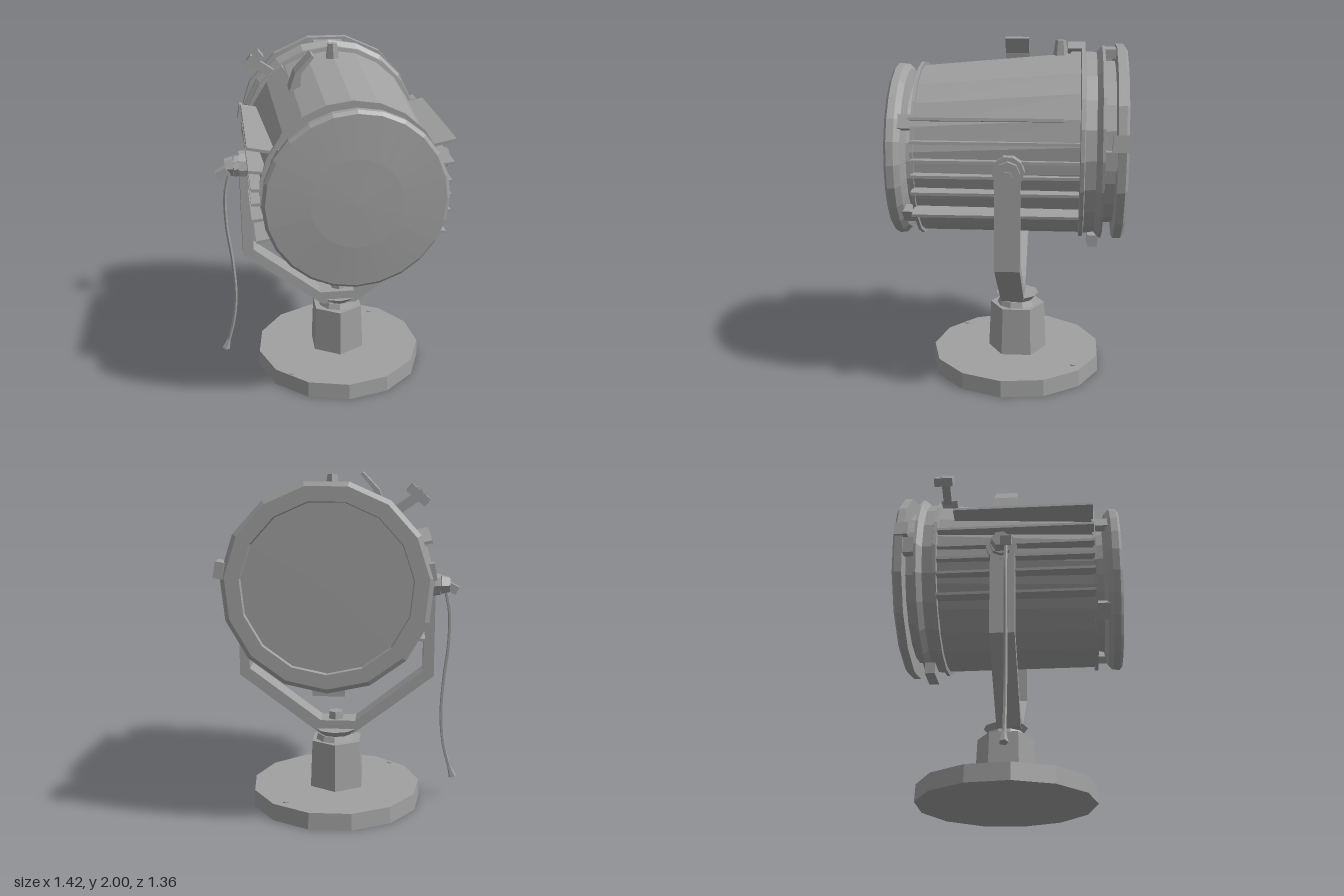
import * as THREE from 'three';

const CX = 0.035;                              // lamp axis in x
const axisY = (z) => 1.383 - 0.043 * z;        // lamp axis tips slightly up to the rear

export function createModel() {
  const root = new THREE.Group();
  const grey = new THREE.MeshStandardMaterial({ color: 0xa0a0a0, flatShading: true, side: THREE.DoubleSide });
  grey.name = 'grey metal';

  const add = (name, geo, x = 0, y = 0, z = 0, rot = [0, 0, 0], parent = root) => {
    const m = new THREE.Mesh(geo, grey);
    m.name = name;
    m.position.set(x, y, z);
    m.rotation.set(...rot);
    parent.add(m);
    return m;
  };
  const box = (w, h, d) => new THREE.BoxGeometry(w, h, d);
  const cyl = (rt, rb, h, n) => new THREE.CylinderGeometry(rt, rb, h, n);
  const shape = (pts) => new THREE.Shape(pts.map(([x, y]) => new THREE.Vector2(x, y)));
  const extrude = (s, depth) => new THREE.ExtrudeGeometry(s, { depth, bevelEnabled: false });

  // Turned part along z from [z, radius] pairs, following the tilted axis
  const turned = (name, profile, sides) => {
    const g = new THREE.LatheGeometry(profile.map(([z, r]) => new THREE.Vector2(r, z)), sides);
    g.rotateX(Math.PI / 2);
    const p = g.attributes.position;
    for (let i = 0; i < p.count; i++) p.setXYZ(i, p.getX(i) + CX, p.getY(i) + axisY(p.getZ(i)), p.getZ(i));
    g.computeVertexNormals();
    return add(name, g);
  };

  // Lamp housing
  turned('housing', [[-0.42, 0], [-0.42, 0.525], [0.5, 0.485], [0.5, 0]], 22);
  turned('frontFlange', [[0.49, 0.48], [0.49, 0.507], [0.508, 0.507], [0.508, 0.36]], 22);
  turned('frontLid', [[0.5, 0.38], [0.55, 0.39], [0.57, 0.47], [0.6, 0.5], [0.64, 0.503], [0.655, 0.485], [0.672, 0.25], [0.677, 0]], 24);
  turned('rearClamp', [[-0.55, 0.46], [-0.545, 0.56], [-0.53, 0.56], [-0.5, 0.525], [-0.44, 0.53], [-0.435, 0.55], [-0.415, 0.55], [-0.41, 0.52]], 20);
  turned('rearNeck', [[-0.61, 0.47], [-0.54, 0.47]], 20);
  turned('rearRing', [[-0.645, 0.46], [-0.67, 0.465], [-0.67, 0.545], [-0.655, 0.57], [-0.61, 0.57], [-0.605, 0.46]], 15);
  turned('rearPane', [[-0.648, 0], [-0.645, 0.465]], 15);

  // Radial tabs: [name, angle, radius, z, radial size, tangent size, z size]
  [
    ['rearHinge', 0.17, 0.575, -0.63, 0.05, 0.09, 0.1],
    ['rearHinge', Math.PI - 0.17, 0.565, -0.62, 0.03, 0.09, 0.08],
    ['rearLatch', 0.0, 0.525, -0.575, 0.05, 0.1, 0.09],
    ['rearLatch', Math.PI, 0.525, -0.575, 0.05, 0.1, 0.09],
    ['rearLatch', Math.PI / 2, 0.52, -0.575, 0.05, 0.18, 0.09],
    ['bottomLatch', -Math.PI / 2, 0.58, -0.5, 0.07, 0.18, 0.06],
    ['lidCatch', -0.75, 0.455, 0.55, 0.05, 0.1, 0.09],
    ['lidCatch', Math.PI + 0.75, 0.455, 0.55, 0.05, 0.1, 0.09],
    ['lidCatch', 0.5, 0.46, 0.55, 0.04, 0.08, 0.09],
    ['lidCatch', Math.PI - 0.5, 0.46, 0.55, 0.04, 0.08, 0.09],
  ].forEach(([name, a, r, z, dr, dt, dz]) =>
    add(name, box(dr, dt, dz), CX + r * Math.cos(a), axisY(z) + r * Math.sin(a), z, [0, 0, a]));

  // Cooling fins on both flanks
  [[1.61, 0.565], [1.49, 0.56], [1.39, 0.55], [1.31, 0.55], [1.22, 0.55], [1.1, 0.53]].forEach(([y, tip], i) => {
    const inner = Math.sqrt(0.48 ** 2 - (y - 1.37) ** 2) - 0.03;
    const len = i === 0 ? 0.82 : 0.91;
    for (const s of [-1, 1]) {
      const tilt = (y - 1.33) * 0.7;
      add('coolingFin', box(tip - inner, 0.016, len), CX + s * (tip + inner) / 2, y, 0.5 - len / 2, [0, 0, s * tilt]);
    }
  });

  // Fittings on top of the housing
  const peg = cyl(0.03, 0.045, 0.1, 6);
  add('topPeg', peg, 0.03, 1.945, -0.295);
  const tab = shape([[-0.26, 1.8], [-0.225, 1.9], [-0.13, 2.0], [-0.115, 1.99], [-0.19, 1.9], [-0.2, 1.8]]);
  add('topTab', extrude(tab, 0.14), 0, 0, -0.105);
  const frame = shape([[-0.065, -0.055], [0.065, -0.055], [0.065, 0.055], [-0.065, 0.055]]);
  frame.holes.push(new THREE.Path([[-0.03, -0.028], [-0.03, 0.028], [0.03, 0.028], [0.03, -0.028]].map(([x, y]) => new THREE.Vector2(x, y))));
  const lever = new THREE.Group();
  lever.name = 'latchLever';
  lever.position.set(-0.44, 1.885, -0.39);
  lever.rotation.z = 0.7;
  root.add(lever);
  add('leverFrame', extrude(frame, 0.05), 0, -0.02, 0, [-Math.PI / 2, 0, 0], lever);
  add('leverStem', box(0.22, 0.05, 0.05), -0.38, 1.84, -0.38, [0, 0, -0.6]);
  add('leverFoot', box(0.1, 0.05, 0.1), -0.3, 1.81, -0.37, [0, 0, 0.6]);

  // Yoke
  const yoke = shape([
    [-0.56, 1.36], [-0.56, 0.8], [-0.08, 0.43], [0.13, 0.43], [0.61, 0.79], [0.61, 1.36],
    [0.55, 1.36], [0.55, 0.83], [0.12, 0.51], [-0.09, 0.51], [-0.495, 0.83], [-0.495, 1.36],
  ]);
  add('yoke', extrude(yoke, 0.14), 0, 0, -0.095);

  // Pivots with washers and nuts
  const side = [0, 0, Math.PI / 2];
  for (const s of [-1, 1]) {
    const at = (d) => CX - 0.01 + s * d;
    add('yokeEye', cyl(0.088, 0.088, 0.062, 10), at(0.555), 1.345, -0.03, side);
    add('pivotShaft', cyl(0.035, 0.035, 0.24, 8), at(0.54), 1.345, -0.03, side);
    add('pivotWasher', cyl(0.065, 0.065, 0.03, 8), at(0.6), 1.345, -0.03, side);
    add('pivotNut', cyl(0.048, 0.06, 0.05, 6), at(0.645), 1.345, -0.03, side);
  }
  add('pivotTip', cyl(0.03, 0.03, 0.04, 6), 0.685, 1.345, -0.03, side);
  add('cableClamp', box(0.07, 0.05, 0.06), -0.66, 1.32, 0.005, [0, 0, 0.5]);

  // Hanging cable, ending in a flared tip
  const path = new THREE.CatmullRomCurve3([[-0.62, 1.32], [-0.65, 1.18], [-0.65, 0.98], [-0.625, 0.75], [-0.615, 0.52], [-0.635, 0.33], [-0.675, 0.18]]
    .map(([x, y]) => new THREE.Vector3(x, y, 0)));
  add('cable', new THREE.TubeGeometry(path, 20, 0.011, 5));
  add('cableTip', cyl(0.01, 0.025, 0.07, 5), -0.682, 0.165, 0, [0, 0, -0.35]);

  // Stand
  add('base', cyl(0.515, 0.52, 0.1, 13), 0.03, 0.05, -0.045);
  for (const [x, z] of [[0.3, -0.4], [-0.3, 0.3]]) add('baseScrew', cyl(0.018, 0.018, 0.008, 8), x, 0.102, z);
  add('post', cyl(0.165, 0.178, 0.29, 6), 0.025, 0.245, -0.05);
  add('postCollar', cyl(0.11, 0.125, 0.035, 10), 0.03, 0.405, -0.05);
  add('swivelPlate', cyl(0.13, 0.1, 0.035, 10), 0.03, 0.44, -0.05);
  add('yokeBolt', cyl(0.045, 0.05, 0.05, 6), 0.03, 0.53, -0.03);

  return root;
}
